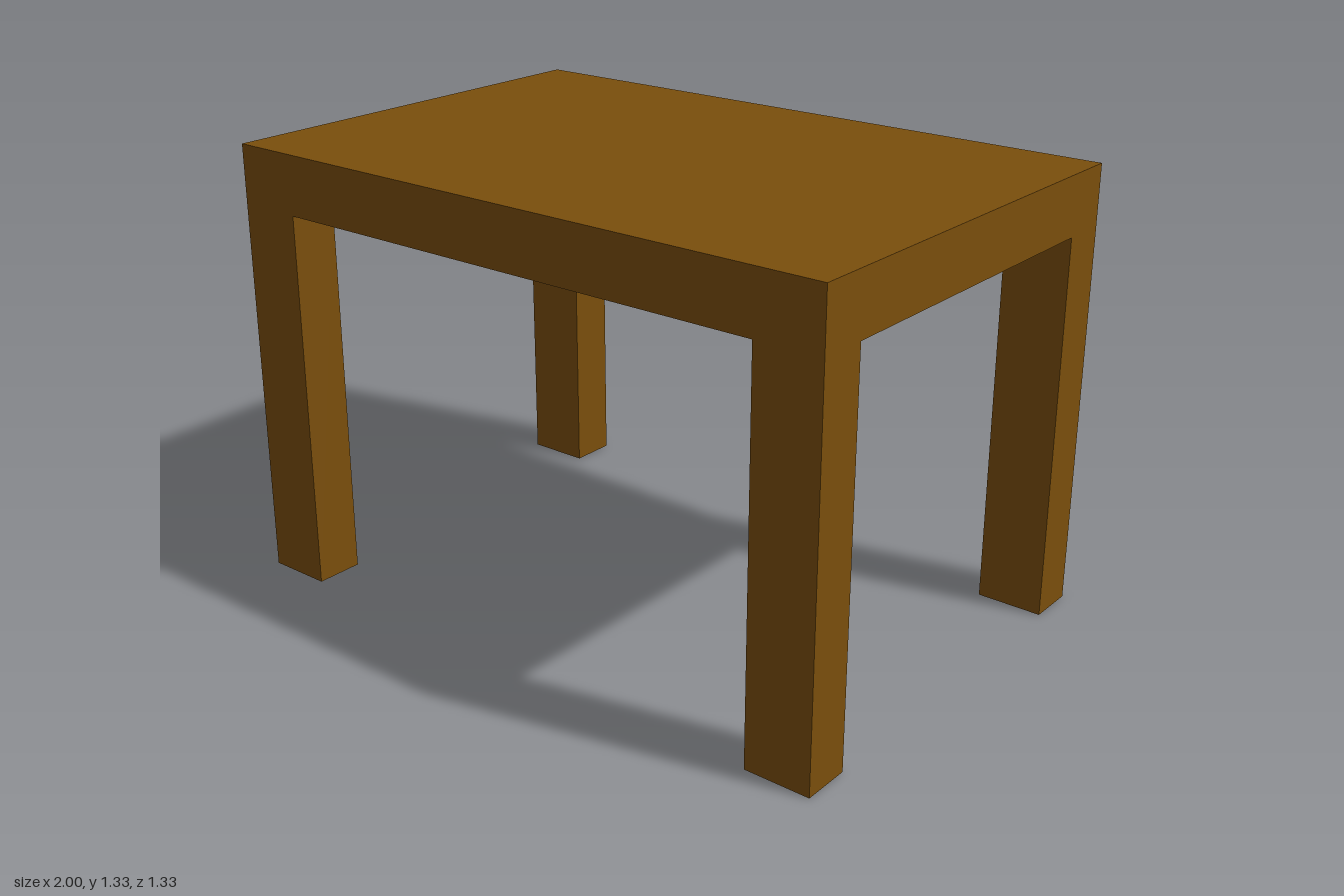
import * as THREE from 'three';

const X = 1, Z = 0.667, TOP = 1.333, RAIL = 1.155; // outer half sizes, top, underside of rails
const LX = 0.2, LZ = 0.147; // leg section

export function createModel() {
  const model = new THREE.Group();
  model.name = 'table';
  const wood = new THREE.MeshStandardMaterial({ color: 0x7a4e0c, side: THREE.DoubleSide });
  wood.name = 'brown wood';

  // Thin flat panel; rx and ry turn it away from facing +z
  function panel(parent, name, w, h, x, y, z, rx = 0, ry = 0) {
    const mesh = new THREE.Mesh(new THREE.PlaneGeometry(w, h), wood);
    mesh.name = name;
    mesh.position.set(x, y, z);
    mesh.rotation.set(rx, ry, 0);
    parent.add(mesh);
  }

  // Top sheet, hollow underneath
  panel(model, 'tabletop', 2 * X, 2 * Z, 0, TOP, 0, -Math.PI / 2);

  const railH = TOP - RAIL, railY = (TOP + RAIL) / 2;
  for (const s of [1, -1]) {
    // Rails hanging from the edges of the top
    panel(model, s > 0 ? 'frontRail' : 'backRail', 2 * X, railH, 0, railY, s * Z, 0, s > 0 ? 0 : Math.PI);
    panel(model, s > 0 ? 'leftRail' : 'rightRail', 2 * Z, railH, s * X, railY, 0, 0, s * Math.PI / 2);
    // Flat ledge under each end, between the legs
    panel(model, s > 0 ? 'leftLedge' : 'rightLedge', LX, 2 * (Z - LZ), s * (X - LX / 2), RAIL, 0, Math.PI / 2);
  }

  // Hollow square legs, open at the foot
  for (const sx of [1, -1]) for (const sz of [1, -1]) {
    const leg = new THREE.Group();
    leg.name = (sz > 0 ? 'front' : 'back') + (sx > 0 ? 'Left' : 'Right') + 'Leg';
    leg.position.set(sx * (X - LX / 2), RAIL / 2, sz * (Z - LZ / 2));
    for (const s of [1, -1]) {
      panel(leg, 'legWall', LX, RAIL, 0, 0, s * LZ / 2, 0, s > 0 ? 0 : Math.PI);
      panel(leg, 'legWall', LZ, RAIL, s * LX / 2, 0, 0, 0, s * Math.PI / 2);
    }
    model.add(leg);
  }
  return model;
}
